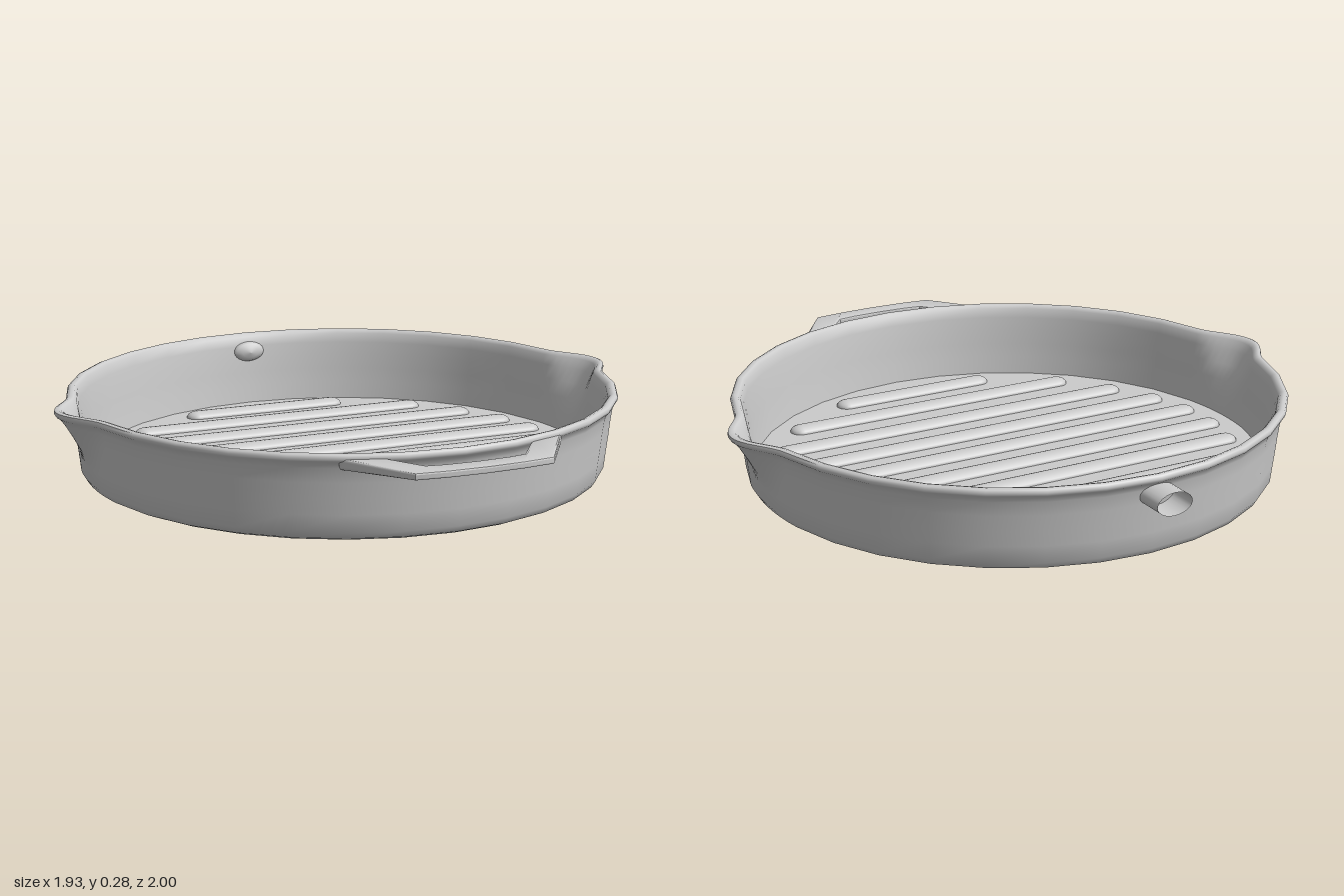
import * as THREE from 'three';
import { toCreasedNormals } from 'three/addons/utils/BufferGeometryUtils.js';

const CENTER_Z = -0.035; // pan axis, shifted back to balance the front handle
const FLOOR_Y = 0.03;

const material = new THREE.MeshStandardMaterial({ color: 0xcccccc });
const openMaterial = new THREE.MeshStandardMaterial({ color: 0xcccccc, side: THREE.DoubleSide });

function addMesh(parent, name, geometry, mat = material) {
  const mesh = new THREE.Mesh(geometry, mat);
  mesh.name = name;
  parent.add(mesh);
  return mesh;
}

// Outward pull of the two pouring spouts, at angle a and height y
function spoutOffset(a, y) {
  const rise = THREE.MathUtils.smoothstep(y, 0.08, 0.31) * 1.08;
  const fromAxis = Math.abs(Math.asin(Math.sin(a)));
  const width = 0.12 + 0.1 * rise;
  if (fromAxis > width) return 0;
  return 0.07 * rise * (0.5 + 0.5 * Math.cos((Math.PI * fromAxis) / width));
}

// Pan wall, rim and floor: one closed profile swept round, with spouts at both sides
function panGeometry() {
  const profile = [
    [0, 0], [0.79, 0], [0.82, 0.004], [0.845, 0.015], [0.857, 0.035],
    [0.863, 0.09], [0.869, 0.14], [0.874, 0.19], [0.88, 0.235], [0.886, 0.252],
    [0.894, 0.259], [0.897, 0.268], [0.893, 0.277], [0.883, 0.281], [0.872, 0.278],
    [0.864, 0.268], [0.859, 0.235], [0.853, 0.19], [0.848, 0.14], [0.843, 0.09],
    [0.835, FLOOR_Y], [0, FLOOR_Y],
  ];
  // 32 sides, divided finer across the spouts
  const angles = [];
  for (let i = 0; i < 32; i++) {
    const parts = i % 16 === 0 || i % 16 === 15 ? 7 : 1;
    for (let k = 0; k < parts; k++) angles.push(((i + k / parts) * Math.PI) / 16);
  }
  const n = angles.length;
  const positions = [];
  const index = [];
  for (const [radius, y] of profile) {
    for (const a of angles) {
      const r = radius === 0 ? 0 : radius + spoutOffset(a, y);
      positions.push(r * Math.cos(a), y, -r * Math.sin(a));
    }
  }
  for (let j = 0; j < profile.length - 1; j++) {
    for (let i = 0; i < n; i++) {
      const a = j * n + i;
      const b = j * n + ((i + 1) % n);
      if (j > 0) index.push(a, b, b + n);
      if (j < profile.length - 2) index.push(a, b + n, a + n);
      else index.push(a, b, a + n);
    }
  }
  const geometry = new THREE.BufferGeometry();
  geometry.setAttribute('position', new THREE.Float32BufferAttribute(positions, 3));
  geometry.setIndex(index);
  return toCreasedNormals(geometry, 0.8);
}

// Flat loop handle, thicker where it meets the wall
function handleGeometry() {
  const outer = [[0.36, 0.775], [0.22, 0.982], [0.12, 0.993], [0, 0.997]];
  const inner = [[0, 0.933], [0.1, 0.929], [0.16, 0.92], [0.245, 0.808]];
  const half = [...outer, ...inner];
  const mirrored = (list) => list.map(([x, z]) => [-x, z]);
  const outline = [
    ...outer, ...mirrored(outer).reverse().slice(1),
    ...mirrored(inner).reverse(), ...inner.slice(1),
  ];
  const shape = new THREE.Shape(outline.map(([x, z]) => new THREE.Vector2(x, -z)));
  const bevel = 0.008;
  const geometry = new THREE.ExtrudeGeometry(shape, {
    depth: 0.014, bevelThickness: bevel, bevelSize: bevel,
    bevelOffset: -bevel + 0.002, bevelSegments: 2,
  });
  geometry.translate(0, 0, -0.007).rotateX(-Math.PI / 2);
  const p = geometry.attributes.position;
  for (let i = 0; i < p.count; i++) {
    const t = THREE.MathUtils.smoothstep(p.getZ(i), 0.78, 0.96);
    p.setY(i, p.getY(i) * THREE.MathUtils.lerp(1.1, 0.75, t));
  }
  return toCreasedNormals(geometry, 0.6);
}

export function createModel() {
  const group = new THREE.Group();
  group.name = 'grillPan';

  addMesh(group, 'panBody', panGeometry()).position.z = CENTER_Z;

  // Raised grill ribs, mirrored about the pan axis: [distance, half length]
  const ribs = new THREE.Group();
  ribs.name = 'grillRibs';
  ribs.position.set(0, FLOOR_Y, CENTER_Z);
  group.add(ribs);
  const radius = 0.037;
  for (const [z, half] of [[0.076, 0.775], [0.224, 0.74], [0.381, 0.66], [0.545, 0.538], [0.697, 0.295]]) {
    const geometry = new THREE.CapsuleGeometry(radius, 2 * (half - radius), 6, 16);
    geometry.rotateZ(Math.PI / 2).scale(1, 0.6, 1);
    for (const side of [-1, 1]) addMesh(ribs, 'grillRib', geometry).position.z = side * z;
  }

  addMesh(group, 'frontHandle', handleGeometry()).position.y = 0.25;

  // Oval socket at the back: open outside, closed with a shallow dome inside the wall
  const socketProfile = [[0, 0.135], [0.5, 0.131], [0.85, 0.122], [1, 0.11], [1, 0]]
    .map(([r, d]) => new THREE.Vector2(r * 0.06, d));
  const socketGeometry = new THREE.LatheGeometry(socketProfile, 24);
  socketGeometry.rotateX(Math.PI / 2).scale(1, 0.6, 1);
  addMesh(group, 'handleSocket', socketGeometry, openMaterial).position.set(0, 0.215, -1);

  return group;
}
